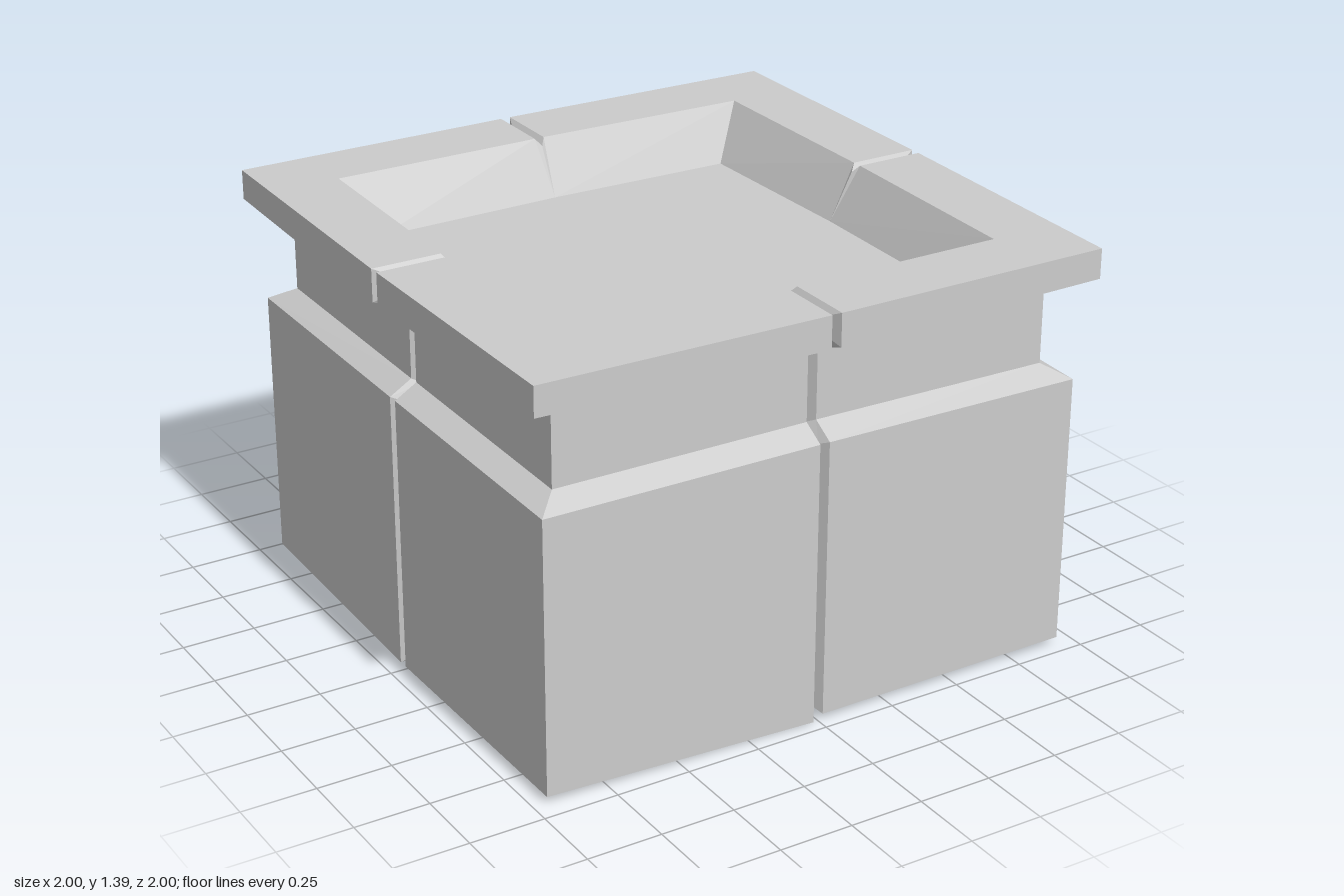
import * as THREE from 'three';

// Profile from the underside centre, up the outside, over the rim and into the tray:
// r = half-width, y = height at the edge middle, c = height at the corner,
// sr / sy = bottom of the V-groove between neighbouring blocks
const PROFILE = [
  { r: 0, y: 0.012, c: 0.012, sr: 0, sy: 0.012 },
  { r: 0.955, y: 0.02, c: 0.025, sr: 0.92, sy: 0.035 },
  { r: 0.955, y: 0.955, c: 0.945, sr: 0.92, sy: 0.94 },
  { r: 0.88, y: 1.0, c: 0.99, sr: 0.85, sy: 0.985 },
  { r: 0.88, y: 1.235, c: 1.235, sr: 0.85, sy: 1.25 },
  { r: 1.0, y: 1.28, c: 1.29, sr: 0.95, sy: 1.3 },
  { r: 1.0, y: 1.39, c: 1.39, sr: 0.95, sy: 1.367 },
  { r: 0.765, y: 1.39, c: 1.39, sr: 0.745, sy: 1.367 },
  { r: 0.663, y: 1.21, c: 1.21, sr: 0.663, sy: 1.21 },
  { r: 0, y: 1.21, c: 1.21, sr: 0, sy: 1.21 },
];
const GAP = 0.017;
const FLOOR = 8;

// Five points across one quarter: groove, edge, corner, edge, groove
function section(p, j, dip) {
  const centre = p.r === 0;
  const g = centre || j === FLOOR ? 0 : GAP;
  const corner = centre ? [0, 0] : j === FLOOR ? [0.65, 0.65] : [p.r - 0.02, p.r];
  const edgeY = j === 1 ? p.y - dip : p.y;
  return [
    [0, p.sy, p.sr],
    [g, edgeY, p.r],
    [corner[0], p.c, corner[1]],
    [p.r, p.y, g],
    [p.sr, p.sy, 0],
  ];
}

function quarterGeometry(dips) {
  const rows = PROFILE.map((p, j) => {
    const row = section(p, j, dips[0]);
    if (j === 1) row[3][1] -= dips[1];
    return row;
  });
  const pos = [];
  const tri = (a, b, c) => {
    const [A, B, C] = [a, b, c].map((v) => new THREE.Vector3(...v));
    // skip faces collapsed at the centre or at the tray floor
    if (B.sub(A).cross(C.sub(A)).length() > 1e-7) pos.push(...a, ...b, ...c);
  };
  for (let j = 0; j < rows.length - 1; j++) {
    for (let i = 0; i < 4; i++) {
      const a = rows[j][i], b = rows[j][i + 1], c = rows[j + 1][i + 1], d = rows[j + 1][i];
      tri(a, b, c);
      tri(a, c, d);
    }
  }
  const geo = new THREE.BufferGeometry();
  geo.setAttribute('position', new THREE.Float32BufferAttribute(pos, 3));
  geo.computeVertexNormals();
  return geo;
}

export function createModel() {
  const group = new THREE.Group();
  group.name = 'squarePlanter';
  const material = new THREE.MeshStandardMaterial({ color: 0xcccccc, flatShading: true });

  // Four blocks turned around the centre; one sits slightly lower at its front seam
  const names = ['frontLeftBlock', 'frontRightBlock', 'backRightBlock', 'backLeftBlock'];
  names.forEach((name, k) => {
    const block = new THREE.Mesh(quarterGeometry(k === 1 ? [0, 0.02] : [0, 0]), material);
    block.name = name;
    block.rotation.y = (-k * Math.PI) / 2;
    group.add(block);
  });
  return group;
}
